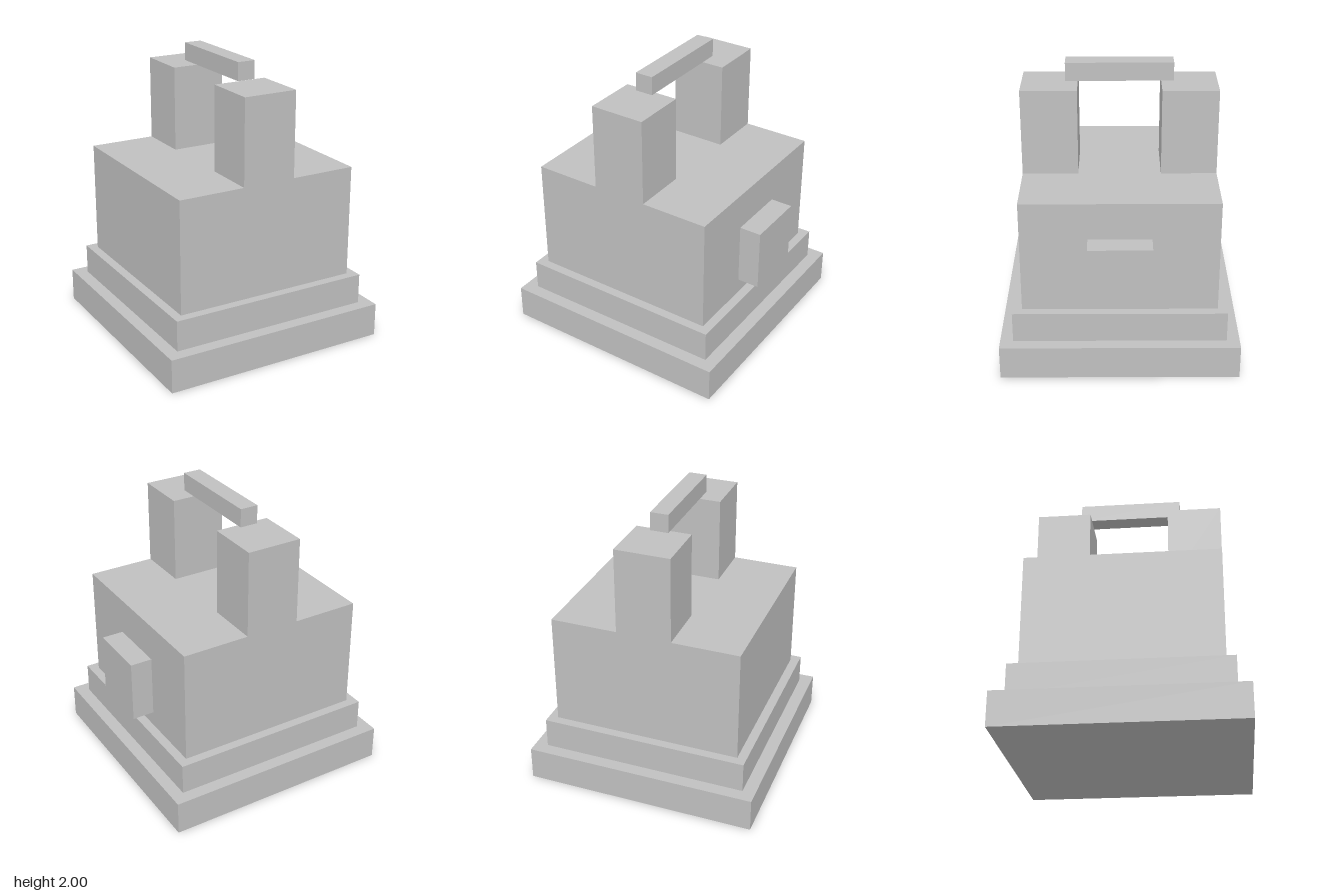
import * as THREE from 'three';

export function createModel() {
  const model = new THREE.Group();
  const grey = new THREE.MeshStandardMaterial({ color: 0xc0c0c0 });
  grey.name = 'light grey';

  // Box given by its extents on each axis
  function block(name, [x0, x1], [y0, y1], [z0, z1]) {
    const mesh = new THREE.Mesh(new THREE.BoxGeometry(x1 - x0, y1 - y0, z1 - z0), grey);
    mesh.position.set((x0 + x1) / 2, (y0 + y1) / 2, (z0 + z1) / 2);
    mesh.name = name;
    model.add(mesh);
  }
  const span = (half) => [-half, half];

  // Stepped base and main body
  block('basePlinth', span(0.818), [0, 0.238], span(0.818));
  block('upperPlinth', span(0.729), [0.238, 0.453], span(0.729));
  block('body', span(0.665), [0.453, 1.248], span(0.665));

  // Front and back posts
  block('frontPost', span(0.193), [1.248, 1.849], [0.283, 0.665]);
  block('backPost', span(0.193), [1.248, 1.849], [-0.665, -0.283]);

  // Bar hovering just above the posts
  block('topBar', span(0.063), [1.873, 2], span(0.365));

  // Raised block on the left side
  block('sideBlock', [0.665, 0.818], [0.56, 0.99], span(0.214));

  return model;
}
